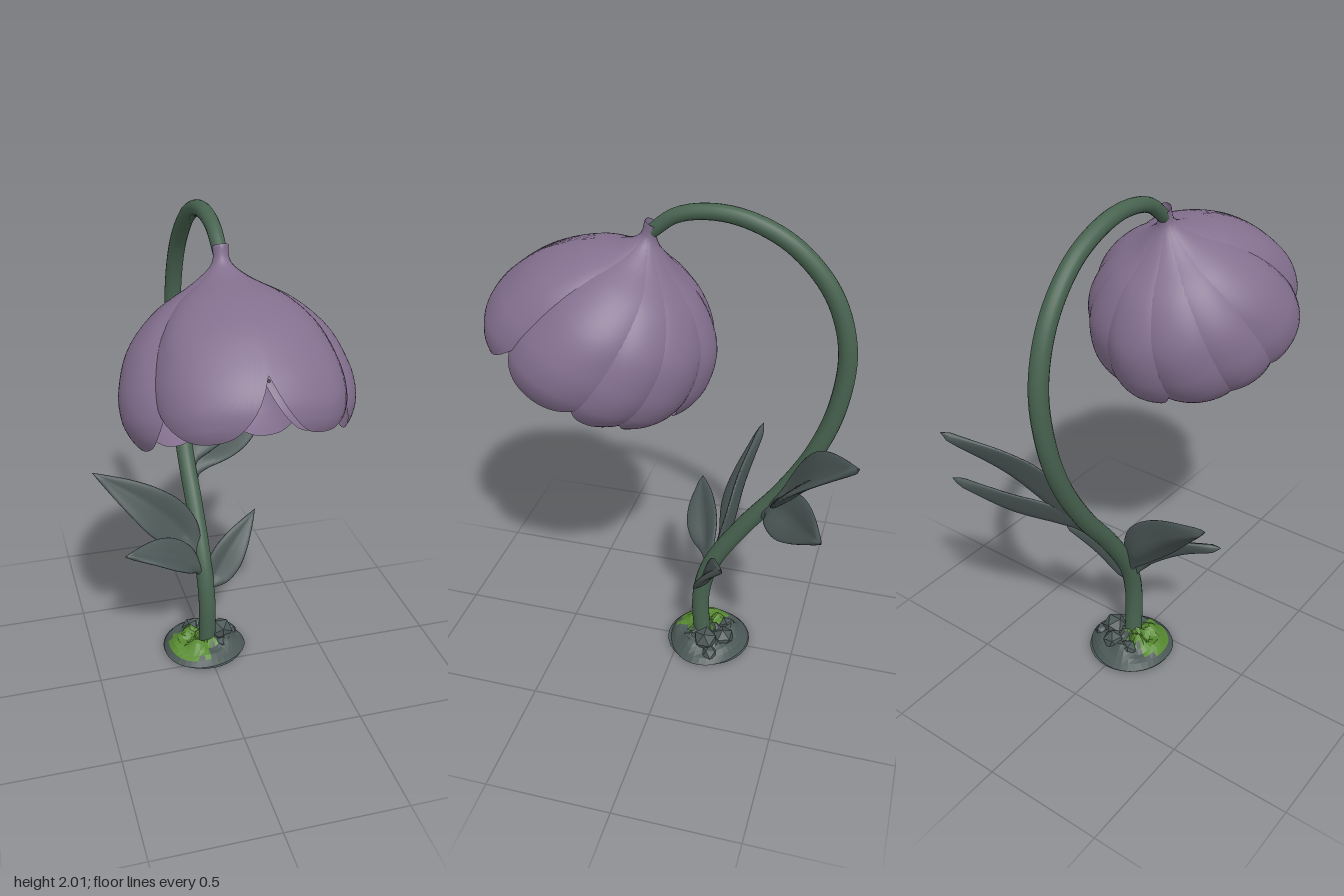
import * as THREE from 'three';
import { ParametricGeometry } from 'three/addons/geometries/ParametricGeometry.js';

const V = (x, y, z) => new THREE.Vector3(x, y, z);
const mat = (name, color, extra = {}) => {
  const m = new THREE.MeshStandardMaterial({ color, ...extra });
  m.name = name;
  return m;
};

export function createModel() {
  const D = { side: THREE.DoubleSide };
  const petalMat = mat('dusty purple', 0x84708f, D);
  const stemMat = mat('stem green', 0x486350, D);
  const leafMat = mat('grey green leaf', 0x4a5655, D);
  const rockMat = mat('grey green rock', 0x4b5856, { ...D, flatShading: true });
  const mossMat = mat('moss green', 0x578a30, { ...D, flatShading: true });
  const stamenMat = mat('dark purple', 0x56465f);

  const root = new THREE.Group();
  const add = (parent, name, geo, material) => {
    const m = new THREE.Mesh(geo, material);
    m.name = name;
    parent.add(m);
    return m;
  };

  // Curved stem, slightly thinner towards the flower
  const stemCurve = new THREE.CatmullRomCurve3([
    [0, 0, -0.10], [0, 0.25, -0.09], [-0.005, 0.42, -0.13], [-0.01, 0.64, -0.26],
    [-0.015, 0.84, -0.41], [-0.015, 1.05, -0.53], [-0.015, 1.26, -0.6], [-0.01, 1.5, -0.617],
    [-0.005, 1.71, -0.55], [0, 1.87, -0.41], [0, 1.95, -0.25], [0, 1.97, -0.11],
    [0, 1.945, 0.02], [0, 1.87, 0.12],
  ].map((p) => V(...p)));
  const xAxis = V(1, 0, 0);
  add(root, 'stem', new ParametricGeometry((u, v, out) => {
    const t = stemCurve.getTangentAt(v);
    const n = xAxis.clone().addScaledVector(t, -t.x).normalize();
    const b = t.clone().cross(n);
    const r = 0.037 - 0.011 * v ** 4;
    const a = u * Math.PI * 2;
    out.copy(stemCurve.getPointAt(v)).addScaledVector(n, Math.cos(a) * r).addScaledVector(b, Math.sin(a) * r);
  }, 16, 90), stemMat);

  // Leaves: a solid folded blade with a round stalk, swept along a curve
  const leaf = (name, points, halfWidth, normal) => {
    const curve = new THREE.CatmullRomCurve3(points.map((p) => V(...p)));
    const hint = V(...normal).normalize();
    add(root, name, new ParametricGeometry((u, v, out) => {
      const s = Math.cos(u * Math.PI * 2);
      const t = curve.getTangent(v);
      const side = hint.clone().cross(t).normalize();
      const up = t.clone().cross(side);
      const k = Math.max(0, (v - 0.12) / 0.88);
      const w = 0.018 * (1 - v) + 0.0002 + halfWidth * Math.max(0, Math.sin(Math.PI * k));
      const blade = Math.min(1, k * 4);
      const fold = blade * w * (0.6 * Math.sqrt(s * s + 0.02) - 0.12 * s * s - 0.25);
      const thick = Math.sin(u * Math.PI * 2) * Math.min(w, 0.017);
      out.copy(curve.getPoint(v)).addScaledVector(side, s * w).addScaledVector(up, fold + thick);
    }, 24, 28), leafMat);
  };
  leaf('upperLeafLeft', [[0, 0.76, -0.37], [0.07, 0.89, -0.44], [0.2, 1.07, -0.545], [0.37, 1.25, -0.73]], 0.113, [0, 0.65, 0.75]);
  leaf('middleLeafLeft', [[0, 0.72, -0.34], [0.07, 0.81, -0.41], [0.25, 0.875, -0.52], [0.45, 0.97, -0.63]], 0.088, [0, 0.65, 0.75]);
  leaf('upperLeafRight', [[-0.01, 0.4, -0.13], [-0.08, 0.56, -0.17], [-0.22, 0.71, -0.19], [-0.45, 0.88, -0.25]], 0.09, [-0.1, 0.6, 0.9]);
  leaf('lowerLeafRight', [[-0.01, 0.38, -0.12], [-0.08, 0.48, -0.09], [-0.2, 0.56, -0.045], [-0.37, 0.61, 0]], 0.07, [0, 0.83, 0.55]);
  leaf('lowerLeafLeft', [[0, 0.31, -0.09], [0.045, 0.37, -0.11], [0.13, 0.48, -0.15], [0.255, 0.61, -0.23]], 0.062, [0, 0.55, 0.85]);

  // Nodding flower head: local -y runs out of the bell
  const flower = new THREE.Group();
  flower.name = 'flower';
  flower.position.set(0, 1.9, 0.11);
  flower.rotation.x = -0.47;
  root.add(flower);

  // Bell profile: x = radius, y = distance from the neck
  const bell = new THREE.SplineCurve([
    [0.029, -0.01], [0.036, 0.05], [0.11, 0.11], [0.25, 0.19], [0.365, 0.31],
    [0.42, 0.45], [0.425, 0.555], [0.4, 0.625], [0.365, 0.67],
  ].map((p) => new THREE.Vector2(...p)));
  const placeOnBell = (out, degrees, along, scale) => {
    const p = bell.getPoint(along);
    const a = THREE.MathUtils.degToRad(degrees);
    const shift = -0.06 * Math.sin(Math.PI * Math.pow(THREE.MathUtils.clamp(p.y / 0.66, 0, 1), 0.6));
    out.set(p.x * scale * Math.sin(a), -p.y, p.x * scale * Math.cos(a) + shift * Math.min(1, along * 3));
  };
  const petal = (name, angle, half, scale, length = 1) => {
    add(flower, name, new ParametricGeometry((u, v, out) => {
      const s = u * 2 - 1;
      const along = v * length * (1 - 0.4 * Math.pow(Math.abs(s), 1.9));
      // the edges dip inward so each petal bulges
      const dip = 1 - 0.13 * s * s * Math.min(1, v * 1.6);
      placeOnBell(out, angle + half * s, along, (1 + (scale - 1) * Math.min(1, v * 3)) * dip);
    }, 24, 32), petalMat);
  };
  // Broad front petal with two lobes and a notch between them
  add(flower, 'frontPetal', new ParametricGeometry((u, v, out) => {
    const s = u * 2 - 1;
    const q = Math.abs(s) * 2 - 1;
    const along = v * (1 - 0.35 * Math.pow(Math.abs(q), 2.1));
    const dip = 1 - 0.12 * Math.max(0, q) ** 2 * Math.min(1, v * 1.6);
    placeOnBell(out, 59 * s, along, (1 + 0.02 * v) * dip);
  }, 48, 32), petalMat);
  petal('backPetal', 180, 25, 1.03, 0.9);
  for (const side of [1, -1]) {
    const label = side > 0 ? 'Left' : 'Right';
    petal('sidePetal' + label, 80 * side, 36, 0.985);
    petal('rearSidePetal' + label, 119 * side, 29, 0.965);
    petal('innerBackPetal' + label, 150 * side, 31, 0.99, 1.01);
  }

  // Ring of small green cups around the flower centre
  const cup = new THREE.SphereGeometry(0.032, 8, 6);
  for (let i = 0; i < 12; i++) {
    const a = (i / 12) * Math.PI * 2;
    const m = add(flower, 'nectarCup', cup, stemMat);
    m.position.set(Math.sin(a) * 0.1, -0.335, Math.cos(a) * 0.1 - 0.03);
    m.scale.y = 1.3;
  }
  add(flower, 'flowerCentre', new THREE.CylinderGeometry(0.06, 0.1, 0.22, 16), stemMat).position.set(0, -0.23, -0.03);

  // Spreading stamens
  for (let i = 0; i < 36; i++) {
    const a = i * 2.39996;
    const k = Math.sqrt((i + 0.5) / 36);
    const from = V(Math.sin(a) * 0.05 * k, -0.33, Math.cos(a) * 0.05 * k - 0.03);
    const to = V(Math.sin(a) * 0.15 * k, -0.54 + 0.09 * k * k, Math.cos(a) * 0.15 * k - 0.02);
    add(flower, 'stamen', new THREE.TubeGeometry(new THREE.LineCurve3(from, to), 1, 0.0035, 5), stamenMat);
    add(flower, 'anther', new THREE.SphereGeometry(0.006, 6, 4), stamenMat).position.copy(to);
  }

  // Rough mound, with a mossy patch on its front right
  const N = 36, R = 9;
  const moundPoint = (i, j) => {
    const a = (i / N) * Math.PI * 2, r = j / R;
    const bump = 0.013 * Math.sin(5 * a + 7 * r) + 0.012 * Math.sin(3 * a - 11 * r + 1);
    const h = 0.076 * Math.pow(1 - r * r, 0.75) + bump * (1 - r) * Math.min(1, r * 4) * 1.8;
    const edge = 1 + 0.03 * Math.sin(3 * a + 1);
    return [-0.01 + Math.cos(a) * r * 0.183 * edge, Math.max(0, h), -0.125 + Math.sin(a) * r * 0.172 * edge];
  };
  const soil = [], moss = [];
  for (let i = 0; i < N; i++) {
    for (let j = 0; j < R; j++) {
      const a = moundPoint(i, j), b = moundPoint(i + 1, j), c = moundPoint(i + 1, j + 1), d = moundPoint(i, j + 1);
      const patch = j < R - 1 && Math.hypot(a[0] + 0.08, a[2] + 0.07) < 0.1 + 0.015 * Math.sin(i * 2.3);
      (patch ? moss : soil).push(...a, ...b, ...c, ...a, ...c, ...d);
    }
  }
  const faces = (list) => {
    const g = new THREE.BufferGeometry();
    g.setAttribute('position', new THREE.Float32BufferAttribute(list, 3));
    g.computeVertexNormals();
    return g;
  };
  add(root, 'mound', faces(soil), rockMat);
  add(root, 'moss', faces(moss), mossMat);
  const under = add(root, 'moundUnderside', new THREE.CircleGeometry(0.18, 32), rockMat);
  under.rotation.x = Math.PI / 2;
  under.position.set(-0.01, 0.001, -0.125);

  // Stones around the foot of the stem
  const stones = [
    [0.075, 0.062, -0.13, 0.054], [0.03, 0.05, -0.2, 0.048], [-0.05, 0.045, -0.2, 0.04],
    [0.12, 0.025, -0.16, 0.036], [0.06, 0.035, -0.06, 0.036],
  ];
  stones.forEach(([x, y, z, r], i) => {
    const m = add(root, 'stone', new THREE.IcosahedronGeometry(r, 0), rockMat);
    m.position.set(x, y, z);
    m.rotation.set(i, i * 2, i * 0.7);
  });
  return root;
}
